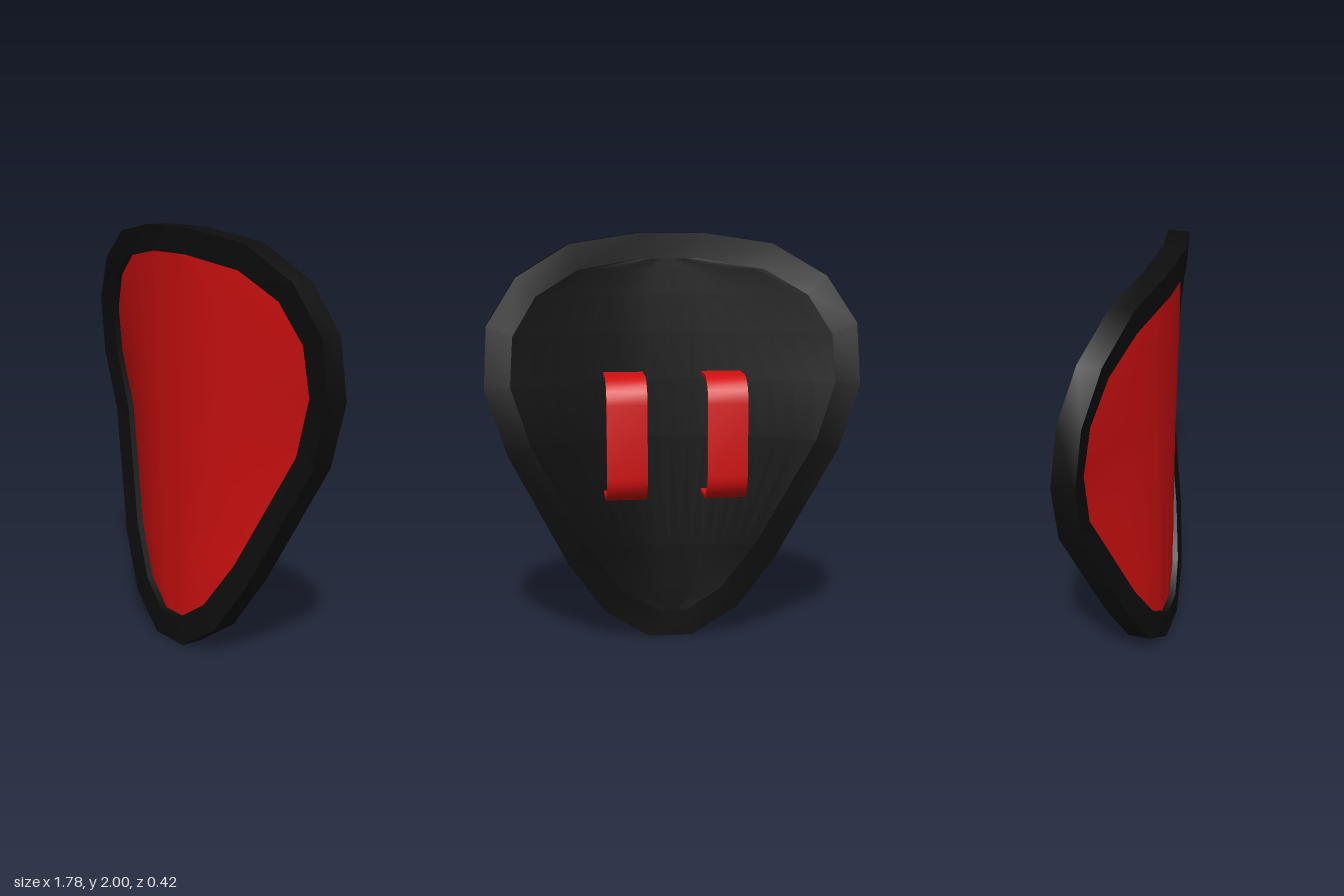
import * as THREE from 'three';
import { toCreasedNormals } from 'three/addons/utils/BufferGeometryUtils.js';

const red = new THREE.MeshStandardMaterial({ color: 0xd01010 });
const black = new THREE.MeshStandardMaterial({ color: 0x0e0e0e });

// Right half of the outline, bottom to top: outer x, outer y, inner x, inner y, back z
const OUTLINE = [
  [0.11, 0, 0.075, 0.13, 0.105],
  [0.33, 0.145, 0.24, 0.24, 0.075],
  [0.51, 0.41, 0.405, 0.47, 0.022],
  [0.79, 0.98, 0.68, 1.02, -0.107],
  [0.89, 1.29, 0.77, 1.3, -0.1],
  [0.875, 1.58, 0.755, 1.53, -0.072],
  [0.735, 1.8, 0.645, 1.71, -0.025],
  [0.485, 1.95, 0.445, 1.83, 0.04],
  [0.155, 2, 0.14, 1.88, 0.105],
];
const DEPTH = 0.107;
const CENTER_Z = 0.105;

// Joins a grid of points with quads; rows may close on themselves
function gridGeometry(rows, { closed = false, flip = false } = {}) {
  const n = rows[0].length;
  const index = [];
  const last = closed ? rows.length : rows.length - 1;
  for (let i = 0; i < last; i++) {
    const next = (i + 1) % rows.length;
    for (let k = 0; k < (closed ? n : n - 1); k++) {
      const k1 = (k + 1) % n;
      const a = i * n + k, b = next * n + k, c = next * n + k1, d = i * n + k1;
      if (flip) index.push(a, c, b, a, d, c);
      else index.push(a, b, c, a, c, d);
    }
  }
  const g = new THREE.BufferGeometry();
  g.setAttribute('position', new THREE.Float32BufferAttribute(rows.flat(2), 3));
  g.setIndex(index);
  g.computeVertexNormals();
  return g;
}

// Square-section rim swept round the whole outline
function rimGeometry() {
  const mirrored = [...OUTLINE].reverse().map(([ox, oy, ix, iy, z]) => [-ox, oy, -ix, iy, z]);
  const rows = [...OUTLINE, ...mirrored].map(([ox, oy, ix, iy, z]) => [
    [ox, oy, z], [ox, oy, z + DEPTH], [ix, iy, z + DEPTH], [ix, iy, z],
  ]);
  return toCreasedNormals(gridGeometry(rows, { closed: true }), 0.75);
}

// Curved sheet inside the rim, bowed forward along the centre line
function sheetGeometry(offset, front) {
  const columns = 16;
  const rows = OUTLINE.map(([, , ix, iy, z]) => {
    const row = [];
    for (let c = 0; c <= columns; c++) {
      const x = ix * (2 * c / columns - 1);
      const t = Math.max(0, (Math.abs(x) - 0.1) / Math.max(ix - 0.1, 0.01));
      row.push([x, iy, CENTER_Z + (z - CENTER_Z) * t ** 1.5 + offset]);
    }
    return row;
  });
  return gridGeometry(rows, { flip: front });
}

// Flat strap bent into a rounded bracket, drawn in (z, y) and extruded along x
function strapGeometry(width) {
  const arc = (cy, r, from, to) => {
    const pts = [];
    for (let i = 0; i <= 6; i++) {
      const a = from + (to - from) * i / 6;
      pts.push(new THREE.Vector2(-0.085 - r * Math.cos(a), cy + r * Math.sin(a)));
    }
    return pts;
  };
  const path = (r) => [
    new THREE.Vector2(0.045, 1.22 + r),
    ...arc(1.22, r, Math.PI / 2, 0),
    ...arc(0.875, r, 0, -Math.PI / 2),
    new THREE.Vector2(0.045, 0.875 - r),
  ];
  const shape = new THREE.Shape([...path(0.125), ...path(0.107).reverse()]);
  const g = new THREE.ExtrudeGeometry(shape, { depth: width, bevelEnabled: false });
  g.translate(0, 0, -width / 2);
  g.rotateY(-Math.PI / 2);
  return toCreasedNormals(g, 0.7);
}

export function createModel() {
  const group = new THREE.Group();
  const add = (name, geometry, material) => {
    const mesh = new THREE.Mesh(geometry, material);
    mesh.name = name;
    group.add(mesh);
    return mesh;
  };

  add('rim', rimGeometry(), black);
  add('frontPanel', sheetGeometry(0.075, true), red);
  add('backPanel', sheetGeometry(0, false), black);

  // Pair of arm straps on the back
  const strap = strapGeometry(0.19);
  for (const [name, side] of [['leftStrap', 1], ['rightStrap', -1]]) {
    add(name, strap, red).position.x = side * 0.236;
  }
  return group;
}
